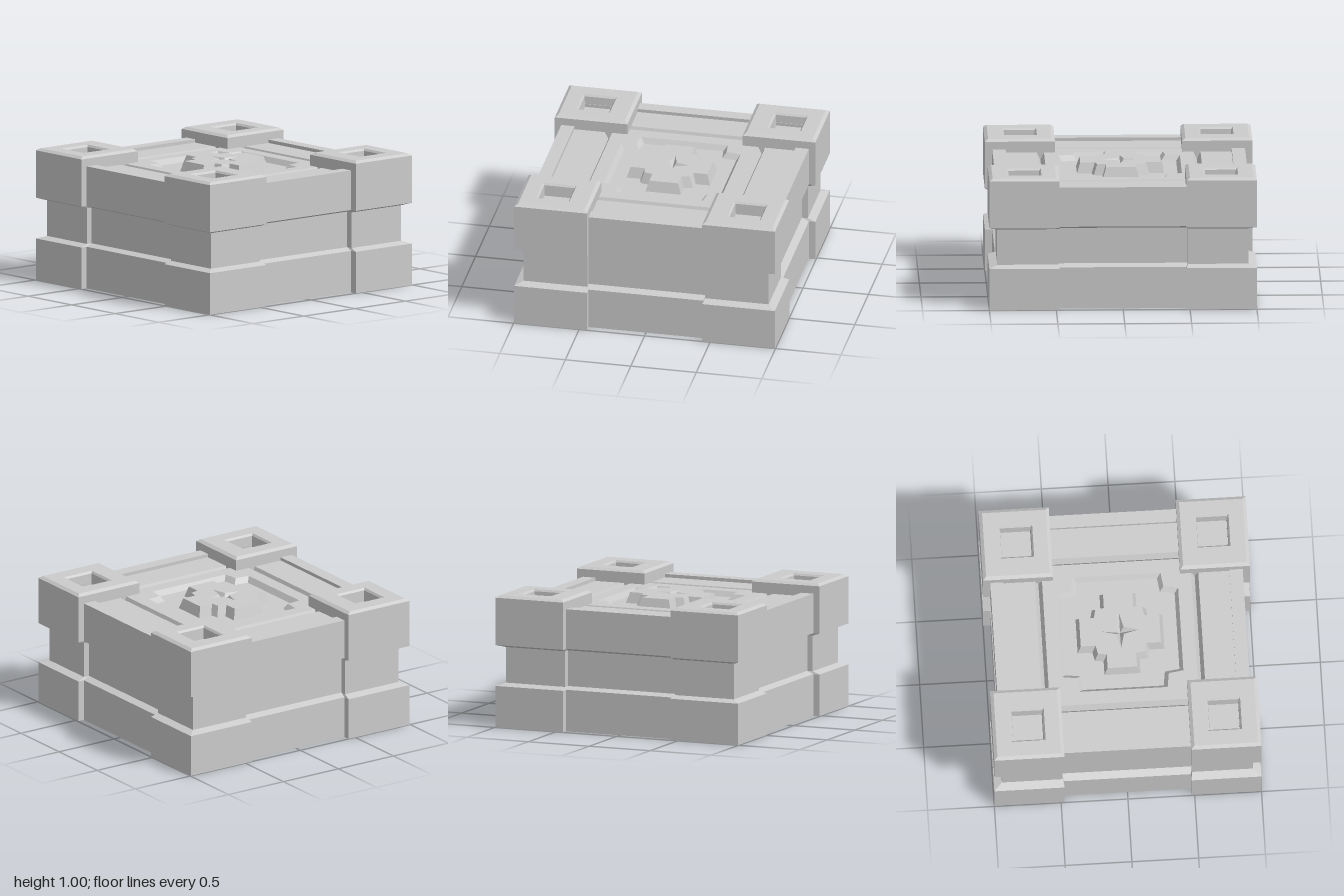
import * as THREE from 'three';

const material = new THREE.MeshStandardMaterial({ color: 0xcccccc, flatShading: true });

// Rectangle as a closed outline of [x, z] corners
const rect = (x0, x1, z0, z1) => [[x1, z0], [x1, z1], [x0, z1], [x0, z0]];
const square = (h) => rect(-h, h, -h, h);

// Mirror the corners of one quadrant into a full outline, shrunk by d
function fourfold(quadrant, d = 0) {
  const q = quadrant.map(([x, z]) => [x - d, z - d]);
  const r = [...q].reverse();
  return [
    ...q,
    ...r.map(([x, z]) => [-x, z]),
    ...q.map(([x, z]) => [-x, -z]),
    ...r.map(([x, z]) => [x, -z]),
  ];
}

// Join successive outlines [outline, y] with flat faces
function loft(out, sections) {
  for (let s = 0; s + 1 < sections.length; s++) {
    const [p, y0] = sections[s], [q, y1] = sections[s + 1];
    for (let i = 0; i < p.length; i++) {
      const j = (i + 1) % p.length;
      const a = [p[i][0], y0, p[i][1]], b = [p[j][0], y0, p[j][1]];
      const c = [q[i][0], y1, q[i][1]], d = [q[j][0], y1, q[j][1]];
      out.push(...a, ...c, ...b, ...b, ...c, ...d);
    }
  }
}

// Flat horizontal face, optionally with a hole
function cap(out, outline, y, up = true, hole = null) {
  const v = (o) => o.map(([x, z]) => new THREE.Vector2(x, z));
  const contour = v(outline), holes = hole ? [v(hole)] : [];
  const points = [...contour, ...holes.flat()];
  for (const [i, j, k] of THREE.ShapeUtils.triangulateShape(contour, holes)) {
    const a = points[i], b = points[j], c = points[k];
    const facesDown = (b.x - a.x) * (c.y - a.y) - (b.y - a.y) * (c.x - a.x) > 0;
    const order = facesDown === up ? [a, c, b] : [a, b, c];
    for (const p of order) out.push(p.x, y, p.y);
  }
}

function makeMesh(name, positions) {
  const geometry = new THREE.BufferGeometry();
  geometry.setAttribute('position', new THREE.Float32BufferAttribute(positions, 3));
  geometry.computeVertexNormals();
  const mesh = new THREE.Mesh(geometry, material);
  mesh.name = name;
  return mesh;
}

// Main block: waisted walls, raised rim, channel, V groove, sunken panel
function makeBody() {
  const out = [];
  const panel = [[0.455, 0.33], [0.345, 0.345], [0.33, 0.455]];
  const profile = [
    [0.945, 0], [0.945, 0.315], [0.89, 0.335], [0.89, 0.605], [0.945, 0.625],
    [0.945, 0.925], [0.845, 0.925], [0.845, 0.9], [0.612, 0.9], [0.585, 0.845], [0.558, 0.9],
  ];
  cap(out, square(0.945), 0, false);
  loft(out, profile.map(([h, y]) => [square(h), y]));
  cap(out, square(0.558), 0.9, true, fourfold(panel));
  loft(out, [[fourfold(panel), 0.9], [fourfold(panel, 0.028), 0.86]]);
  cap(out, fourfold(panel, 0.028), 0.86);
  return makeMesh('body', out);
}

// Raised stepped cross with a sunken four-pointed star
function makeEmblem() {
  const out = [];
  const cross = [[0.318, 0.135], [0.21, 0.135], [0.2, 0.2], [0.135, 0.215], [0.135, 0.325]];
  const star = [];
  for (let i = 0; i < 8; i++) {
    const r = i % 2 ? 0.04 : 0.14, a = (i * Math.PI) / 4;
    star.push([r * Math.cos(a), r * Math.sin(a)]);
  }
  loft(out, [[fourfold(cross), 0.86], [fourfold(cross, 0.025), 0.94]]);
  cap(out, fourfold(cross, 0.025), 0.94, true, star);
  loft(out, [[star, 0.94], [star.map(() => [0, 0]), 0.885]]);
  return makeMesh('emblem', out);
}

// Corner tower: footing, waist, bevelled top with a square socket
function makeTower(sx, sz) {
  const out = [];
  // inner and outer insets from the tower's full footprint
  const ring = (inner, outer) => {
    const xs = [sx * (0.44 + inner), sx * (0.995 - outer)].sort((a, b) => a - b);
    const zs = [sz * (0.475 + inner), sz * (1 - outer)].sort((a, b) => a - b);
    return rect(...xs, ...zs);
  };
  const socket = (h) => {
    const x = sx * 0.73, z = sz * 0.735;
    return rect(x - h, x + h, z - h, z + h);
  };
  cap(out, ring(0, 0), 0, false);
  loft(out, [
    [ring(0, 0), 0], [ring(0, 0), 0.315], [ring(0.01, 0.06), 0.335],
    [ring(0.01, 0.06), 0.605], [ring(0, 0), 0.625], [ring(0, 0), 0.983], [ring(0.025, 0.025), 1],
  ]);
  cap(out, ring(0.025, 0.025), 1, true, socket(0.128));
  loft(out, [[socket(0.128), 1], [socket(0.116), 0.985], [socket(0.112), 0.9]]);
  cap(out, socket(0.112), 0.9);
  return makeMesh(`${sz > 0 ? 'front' : 'back'}${sx > 0 ? 'Left' : 'Right'}Tower`, out);
}

export function createModel() {
  const group = new THREE.Group();
  group.name = 'stoneBlock';
  group.add(makeBody(), makeEmblem());
  for (const sx of [-1, 1]) for (const sz of [-1, 1]) group.add(makeTower(sx, sz));
  return group;
}
